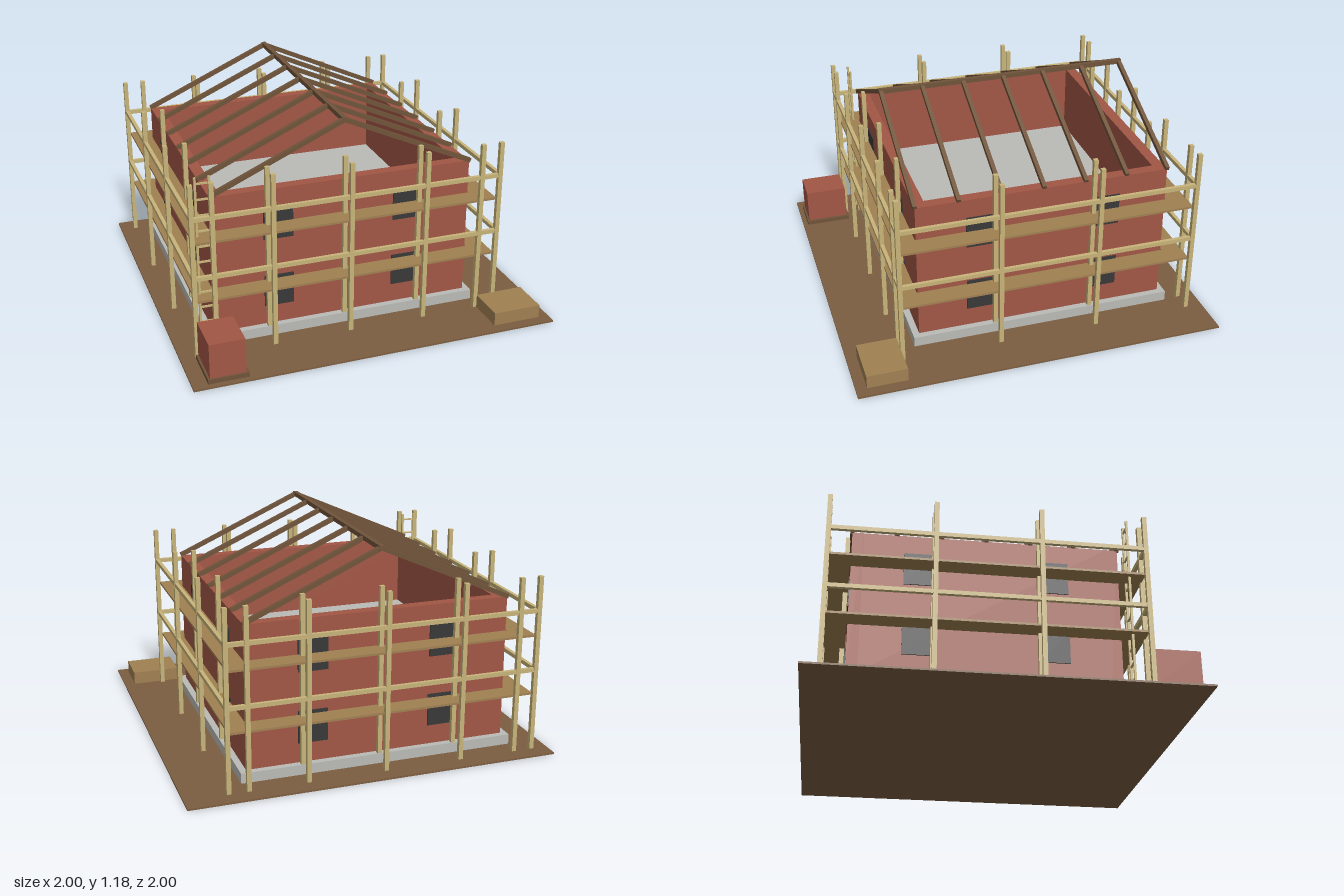
import * as THREE from 'three';

export function createModel() {
  const model = new THREE.Group();
  model.name = 'houseUnderConstruction';

  const mat = (name, color) => {
    const m = new THREE.MeshStandardMaterial({ color });
    m.name = name;
    return m;
  };
  const soil = mat('soil', 0x7c5e40);
  const brick = mat('brick', 0xa25645);
  const concrete = mat('concrete', 0xbabab6);
  const glass = mat('darkOpening', 0x383838);
  const pole = mat('scaffoldPole', 0xc8b47a);
  const plank = mat('plankWood', 0xa08052);
  const timber = mat('roofTimber', 0x70543a);

  const group = (name) => {
    const g = new THREE.Group();
    g.name = name;
    model.add(g);
    return g;
  };
  // Box given by its lower and upper limits on each axis
  const box = (parent, name, material, [x0, x1], [y0, y1], [z0, z1]) => {
    const mesh = new THREE.Mesh(new THREE.BoxGeometry(x1 - x0, y1 - y0, z1 - z0), material);
    mesh.position.set((x0 + x1) / 2, (y0 + y1) / 2, (z0 + z1) / 2);
    mesh.name = name;
    parent.add(mesh);
    return mesh;
  };
  const around = (c, size) => [c - size / 2, c + size / 2];

  // House centre and half sizes
  const cx = -0.07, cz = -0.095, hw = 0.717, hd = 0.69;
  const base = 0.065, top = 0.84, wall = 0.06;

  box(model, 'ground', soil, [-1, 1], [0, 0.01], [-1, 1]);
  box(model, 'foundation', concrete, [cx - hw - 0.035, cx + hw + 0.035], [0.01, base],
    [cz - hd - 0.035, cz + hd + 0.035]);

  // Brick shell and upper floor
  const walls = group('walls');
  for (const s of [-1, 1]) {
    box(walls, s > 0 ? 'frontWall' : 'backWall', brick, [cx - hw, cx + hw], [base, top],
      around(cz + s * (hd - wall / 2), wall));
    box(walls, s > 0 ? 'leftWall' : 'rightWall', brick, around(cx + s * (hw - wall / 2), wall),
      [base, top], [cz - hd + wall, cz + hd - wall]);
  }
  box(model, 'upperFloor', concrete, [cx - hw + wall, cx + hw - wall], [0.415, 0.445],
    [cz - hd + wall, cz + hd - wall]);

  // Two storeys of window openings on every side
  const windows = group('windows');
  for (const y of [0.26, 0.648]) {
    for (const s of [-1, 1]) {
      for (const t of [-1, 1]) {
        box(windows, 'window', glass, around(cx + t * hw / 2, 0.16), around(y, 0.177),
          around(cz + s * (hd + 0.002), 0.008));
        box(windows, 'window', glass, around(cx + s * (hw + 0.002), 0.008), around(y, 0.177),
          around(cz + t * hd / 2, 0.155));
      }
    }
  }

  // Roof frame: rafter pairs and ridge beam
  const roof = group('roofFrame');
  const run = 0.72, rise = 0.322;
  for (let i = 0; i < 7; i++) {
    for (const s of [-1, 1]) {
      const rafter = new THREE.Mesh(
        new THREE.BoxGeometry(Math.hypot(run, rise), 0.024, 0.022), timber);
      rafter.name = 'rafter';
      rafter.position.set(cx + s * run / 2, 0.843 + rise / 2, cz + (i - 3) * 0.23);
      rafter.rotation.z = -s * Math.atan2(rise, run);
      roof.add(rafter);
    }
  }
  box(roof, 'ridgeBeam', timber, around(cx, 0.025), [1.153, 1.178], around(cz, 1.405));

  // Scaffold posts: outer ring plus a row close to the walls
  const scaffold = group('scaffold');
  const ox = 0.84, oz = 0.81, gap = 0.105, t = 0.024;
  const post = (x, z) => box(scaffold, 'post', pole, around(x, t), [0.002, 0.975], around(z, t));
  for (const s of [-1, 1]) {
    for (const k of [-1, 0, 1]) {
      post(cx + k * 0.42, cz + s * oz);
      post(cx + k * 0.42, cz + s * (oz - gap + 0.005));
    }
    for (const k of [-1.5, -0.5, 0.5, 1.5]) {
      post(cx + s * ox, cz + k * 0.54);
      post(cx + s * (ox - gap), cz + k * 0.54);
    }
  }

  // Guard rails
  for (const y of [0.462, 0.788]) {
    for (const s of [-1, 1]) {
      box(scaffold, 'rail', pole, around(cx, ox * 2 + t), around(y, 0.022), around(cz + s * oz, 0.02));
      box(scaffold, 'rail', pole, around(cx + s * ox, 0.02), around(y, 0.022), around(cz, oz * 2 + t));
    }
  }

  // Walkway planks
  for (const y of [0.324, 0.649]) {
    for (const s of [-1, 1]) {
      box(scaffold, 'walkway', plank, around(cx, 1.66), around(y, 0.012),
        around(cz + s * 0.75, 0.11));
      box(scaffold, 'walkway', plank, around(cx + s * 0.775, 0.11), around(y, 0.012),
        around(cz, 1.39));
    }
  }

  // Ladder
  const ladder = group('ladder');
  for (const x of [-0.865, -0.793]) {
    box(ladder, 'ladderRail', pole, around(x, 0.012), [0.01, 0.975], around(0.633, 0.012));
  }
  for (let i = 0; i < 11; i++) {
    box(ladder, 'rung', pole, [-0.865, -0.793], around(0.08 + i * 0.086, 0.009), around(0.633, 0.009));
  }

  // Building supplies on the ground
  const supplies = group('supplies');
  box(supplies, 'pallet', timber, [-0.92, -0.706], [0.01, 0.034], [0.715, 0.973]);
  box(supplies, 'brickStack', brick, [-0.908, -0.72], [0.034, 0.225], [0.727, 0.962]);
  box(supplies, 'lumberStack', plank, [0.673, 0.942], [0.01, 0.083], [0.725, 0.942]);

  return model;
}
